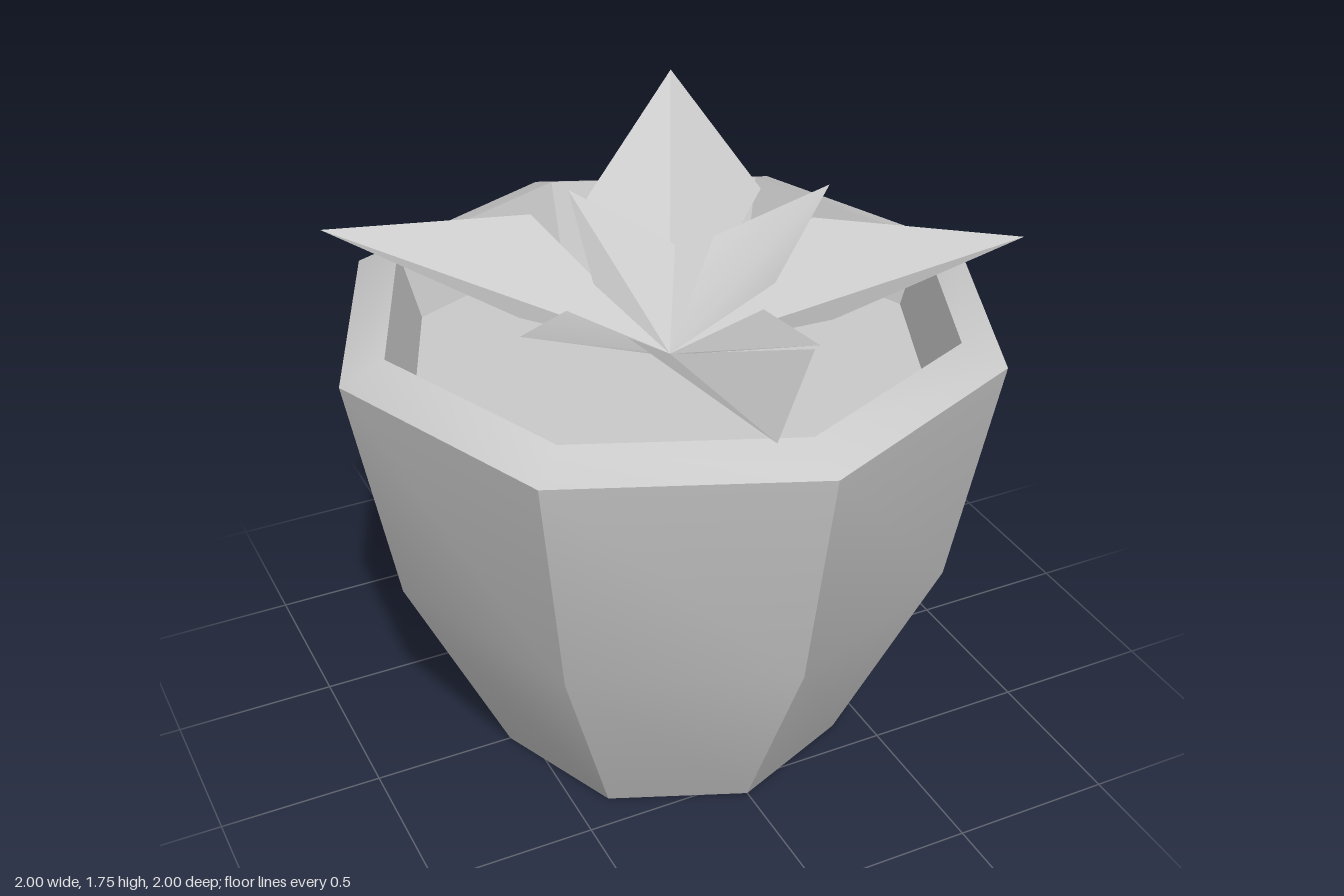
import * as THREE from 'three';
import { toCreasedNormals } from 'three/addons/utils/BufferGeometryUtils.js';

const SOIL_Y = 1.25;
const CREASE = 0.6;
const material = () => new THREE.MeshStandardMaterial({ color: 0xcccccc });

// Kite-shaped leaf folded along its midrib, which runs from the soil to the tip
function createLeaf(name, tip, sideA, sideB) {
  const base = [0.02, SOIL_Y, -0.03];
  const geometry = new THREE.BufferGeometry();
  geometry.setAttribute('position', new THREE.Float32BufferAttribute([...base, ...sideA, ...tip, ...sideB], 3));
  geometry.setIndex([0, 1, 2, 0, 2, 3]);
  const leafMaterial = material();
  leafMaterial.side = THREE.DoubleSide;
  const leaf = new THREE.Mesh(toCreasedNormals(geometry, CREASE), leafMaterial);
  leaf.name = name;
  return leaf;
}

export function createModel() {
  const model = new THREE.Group();
  model.name = 'pottedPlant';

  // Eight-sided pot: underside, tapered wall, bevelled rim, inner wall
  const profile = [
    [0, 0], [0.56, 0], [0.87, 0.68], [1, 1.41], [0.865, 1.465], [0.8, SOIL_Y],
  ].map(([r, y]) => new THREE.Vector2(r, y));
  const pot = new THREE.Mesh(toCreasedNormals(new THREE.LatheGeometry(profile, 8), CREASE), material());
  pot.name = 'pot';
  model.add(pot);

  // Soil surface
  const soil = new THREE.Mesh(new THREE.CircleGeometry(0.8, 8).rotateX(-Math.PI / 2), material());
  soil.name = 'soil';
  soil.position.y = SOIL_Y;
  model.add(soil);

  // Rosette: tip, then the two side corners, of each leaf
  const leaves = new THREE.Group();
  leaves.name = 'leaves';
  const leafCorners = {
    largeLeafBack: [[0.45, 1.755, -0.91], [0.45, 1.595, -0.28], [-0.03, 1.565, -0.51]],
    largeLeafRight: [[-0.9, 1.69, -0.4], [-0.26, 1.605, -0.4], [-0.49, 1.54, 0.07]],
    largeLeafFront: [[-0.18, 1.565, 0.99], [-0.29, 1.57, 0.35], [0.2, 1.495, 0.51]],
    largeLeafLeft: [[0.96, 1.615, 0.38], [0.32, 1.505, 0.4], [0.52, 1.57, -0.08]],
    smallLeafBack: [[-0.1, 1.615, -0.49], [0.13, 1.5, -0.22], [-0.17, 1.47, -0.15]],
    smallLeafRight: [[-0.55, 1.57, 0.22], [-0.3, 1.46, -0.05], [-0.17, 1.43, 0.23]],
    smallLeafFront: [[0.21, 1.51, 0.52], [-0.05, 1.41, 0.25], [0.24, 1.43, 0.14]],
    smallLeafLeft: [[0.61, 1.635, -0.14], [0.32, 1.46, 0.06], [0.27, 1.49, -0.24]],
  };
  for (const [name, corners] of Object.entries(leafCorners)) {
    leaves.add(createLeaf(name, ...corners));
  }
  model.add(leaves);

  return model;
}
